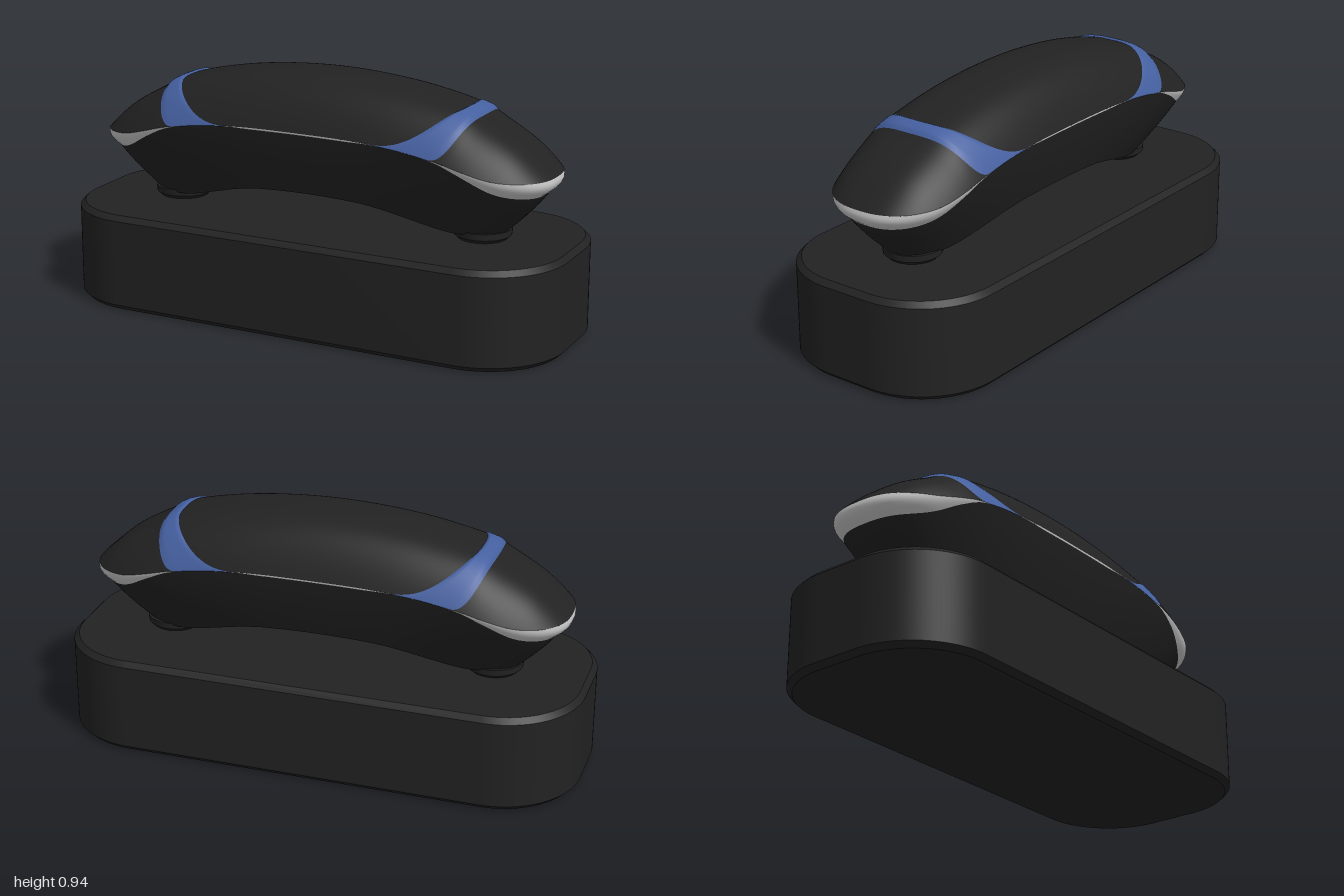
import * as THREE from 'three';
import { mergeVertices, toCreasedNormals } from 'three/addons/utils/BufferGeometryUtils.js';

const paint = (color) => new THREE.MeshStandardMaterial({ color, side: THREE.DoubleSide });
const black = paint(0x222222), blue = paint(0x4560a0), silver = paint(0xcccccc);

// Smooth even curve y(|x|) through a few points, level at x = 0
function spline(pts) {
  const n = pts.length - 1;
  const slope = (i) => {
    if (i === 0) return 0;
    const a = pts[i - 1], b = pts[Math.min(i + 1, n)];
    return (b[1] - a[1]) / (b[0] - a[0]);
  };
  return (x) => {
    x = Math.min(Math.abs(x), pts[n][0]);
    let i = 0;
    while (i < n - 1 && x > pts[i + 1][0]) i++;
    const [x0, y0] = pts[i], [x1, y1] = pts[i + 1], h = x1 - x0, t = (x - x0) / h;
    return y0 + (y1 - y0) * t * t * (3 - 2 * t)
      + h * t * (1 - t) * (slope(i) * (1 - t) - slope(i + 1) * t);
  };
}

// Surface from a rule fn(u, v) -> [x, y, z]; its front is along dU x dV
function surface(name, material, nu, nv, fn) {
  const pos = [], index = [];
  for (let j = 0; j <= nv; j++) for (let i = 0; i <= nu; i++) pos.push(...fn(i / nu, j / nv));
  for (let j = 0; j < nv; j++) for (let i = 0; i < nu; i++) {
    const a = j * (nu + 1) + i, c = a + nu + 1;
    index.push(a, a + 1, c, a + 1, c + 1, c);
  }
  let geo = new THREE.BufferGeometry();
  geo.setAttribute('position', new THREE.Float32BufferAttribute(pos, 3));
  geo.setIndex(index);
  geo = mergeVertices(geo, 1e-5);
  geo.computeVertexNormals();
  const mesh = new THREE.Mesh(geo, material);
  mesh.name = name;
  return mesh;
}

// Handset proportions
const W = 0.265, P = 2.5, STRAIGHT = 0.52, END = 0.4;
const crown = spline([[0, 0.94], [0.2, 0.931], [0.4, 0.905], [0.6, 0.858], [0.66, 0.825], [0.8, 0.745], [0.92, 0.642]]);
const rim = spline([[0, 0.75], [0.3, 0.743], [0.55, 0.71], [0.65, 0.683], [0.75, 0.656], [0.83, 0.646], [0.92, 0.64]]);
const belly = spline([[0, 0.5], [0.2, 0.492], [0.3, 0.476], [0.42, 0.444], [0.54, 0.412], [0.6, 0.406], [0.75, 0.406]]);
const trimHeight = spline([[0, 0.006], [0.2, 0.006], [0.3, 0.001], [0.52, 0.001], [0.65, 0.02], [0.8, 0.055], [0.92, 0.07]]);

// Plan curves: x at a given z, bowed toward the ends
const bow = (x0, dx) => (z) => x0 + dx * Math.pow(Math.max(0, 1 - Math.pow(Math.abs(z) / W, P)), 1 / P);
const panelEdge = bow(0.28, 0.3), bandEdge = bow(STRAIGHT, 0.12), rimEdge = bow(STRAIGHT, END);
const neg = (f) => (z) => -f(z);

function topY(x, z) {
  const e = Math.max(0, Math.abs(x) - STRAIGHT) / END;
  const half = W * Math.pow(Math.max(0, 1 - Math.pow(e, P)), 1 / P);
  const r = half > 1e-5 ? Math.min(1, Math.abs(z) / half) : 1;
  return rim(x) + (crown(x) - rim(x)) * (1 - Math.pow(r, 3.2));
}

// Patch of the top shell between two plan curves
const topPatch = (name, material, from, to, nv, lift = 0) =>
  surface(name, material, 48, nv, (u, v) => {
    const z = W * Math.sin((u - 0.5) * Math.PI);
    const x = THREE.MathUtils.lerp(from(z), to(z), v);
    return [x, topY(x, z) + lift * Math.min(1, 6 * v, 6 * (1 - v)) * Math.cos((u - 0.5) * Math.PI), z];
  });

// Closed plan outline of the rim, starting at +x and turning toward +z
function rimOutline() {
  const quarter = [];
  for (let i = 0; i <= 24; i++) {
    const a = (i / 24) * Math.PI / 2;
    quarter.push([STRAIGHT + END * Math.pow(Math.max(0, Math.cos(a)), 2 / P), W * Math.pow(Math.sin(a), 2 / P)]);
  }
  for (let i = 1; i <= 16; i++) quarter.push([STRAIGHT * (1 - i / 16), W]);
  const front = [...quarter, ...quarter.slice(0, -1).reverse().map(([x, z]) => [-x, z])];
  return [...front, ...front.slice(0, -1).reverse().map(([x, z]) => [x, -z])];
}

// Point on the flank: s = 0 at the rim, 1 at the belly edge
function flank([x, z], s, bulge = 0) {
  const xb = x * 0.79, yb = belly(xb);
  const narrow = THREE.MathUtils.mapLinear(yb, 0.406, 0.5, 0.45, 0.69);
  const k = 1 + 0.1 * s * (1 - s) + bulge;
  return [
    THREE.MathUtils.lerp(x, xb, s) * k,
    THREE.MathUtils.lerp(rim(x), yb, s),
    THREE.MathUtils.lerp(z, z * narrow, s) * k,
  ];
}

function createHandset() {
  const g = new THREE.Group();
  g.name = 'handset';

  // Top shell: centre panel, two coloured bands, two end caps
  g.add(topPatch('topPanel', black, neg(panelEdge), panelEdge, 40));
  g.add(topPatch('leftBand', blue, panelEdge, bandEdge, 12, 0.008));
  g.add(topPatch('rightBand', blue, neg(bandEdge), neg(panelEdge), 12, 0.008));
  g.add(topPatch('leftEndCap', black, bandEdge, rimEdge, 20));
  g.add(topPatch('rightEndCap', black, neg(rimEdge), neg(bandEdge), 20));

  // Trim strip and tapering lower shell
  const loop = rimOutline(), n = loop.length - 1;
  const trimEnd = ([x]) => trimHeight(x) / (rim(x) - belly(x * 0.79));
  g.add(surface('trim', silver, n, 6, (u, v) => {
    const p = loop[Math.round(u * n)], s = trimEnd(p);
    return flank(p, s * v, 0.06 * s * Math.sin(v * Math.PI));
  }));
  g.add(surface('lowerShell', black, n, 12, (u, v) => {
    const p = loop[Math.round(u * n)];
    return flank(p, THREE.MathUtils.lerp(trimEnd(p), 1, v));
  }));

  // Underside closing the belly edge from back to front
  g.add(surface('underside', black, n / 2, 4, (u, v) => {
    const [x, y, z] = flank(loop[Math.round((1 - u) * n / 2)], 1);
    return [x, y, z * (2 * v - 1)];
  }));
  return g;
}

function createBase() {
  const bevel = 0.02, w = 1 - bevel, d = 0.405 - bevel, r = 0.29;
  const s = new THREE.Shape();
  s.moveTo(w, -d + r);
  s.absarc(w - r, d - r, r, 0, Math.PI / 2);
  s.absarc(-w + r, d - r, r, Math.PI / 2, Math.PI);
  s.absarc(-w + r, -d + r, r, Math.PI, Math.PI * 1.5);
  s.absarc(w - r, -d + r, r, Math.PI * 1.5, Math.PI * 2);
  const geo = new THREE.ExtrudeGeometry(s, {
    depth: 0.375 - 2 * bevel, bevelThickness: bevel, bevelSize: bevel, bevelSegments: 1, curveSegments: 14,
  });
  geo.rotateX(-Math.PI / 2).translate(0, bevel, 0);
  const mesh = new THREE.Mesh(toCreasedNormals(geo, 0.5), black);
  mesh.name = 'base';
  return mesh;
}

export function createModel() {
  const model = new THREE.Group();
  model.name = 'handsetOnStand';
  model.add(createBase(), createHandset());

  // Round feet between handset and base
  const profile = [[0.085, 0.37], [0.108, 0.39], [0.11, 0.415], [0, 0.415]].map((p) => new THREE.Vector2(...p));
  const footGeo = toCreasedNormals(new THREE.LatheGeometry(profile, 32), 0.5);
  for (const side of [1, -1]) {
    const foot = new THREE.Mesh(footGeo, black);
    foot.name = side > 0 ? 'leftFoot' : 'rightFoot';
    foot.position.x = 0.635 * side;
    model.add(foot);
  }
  return model;
}
